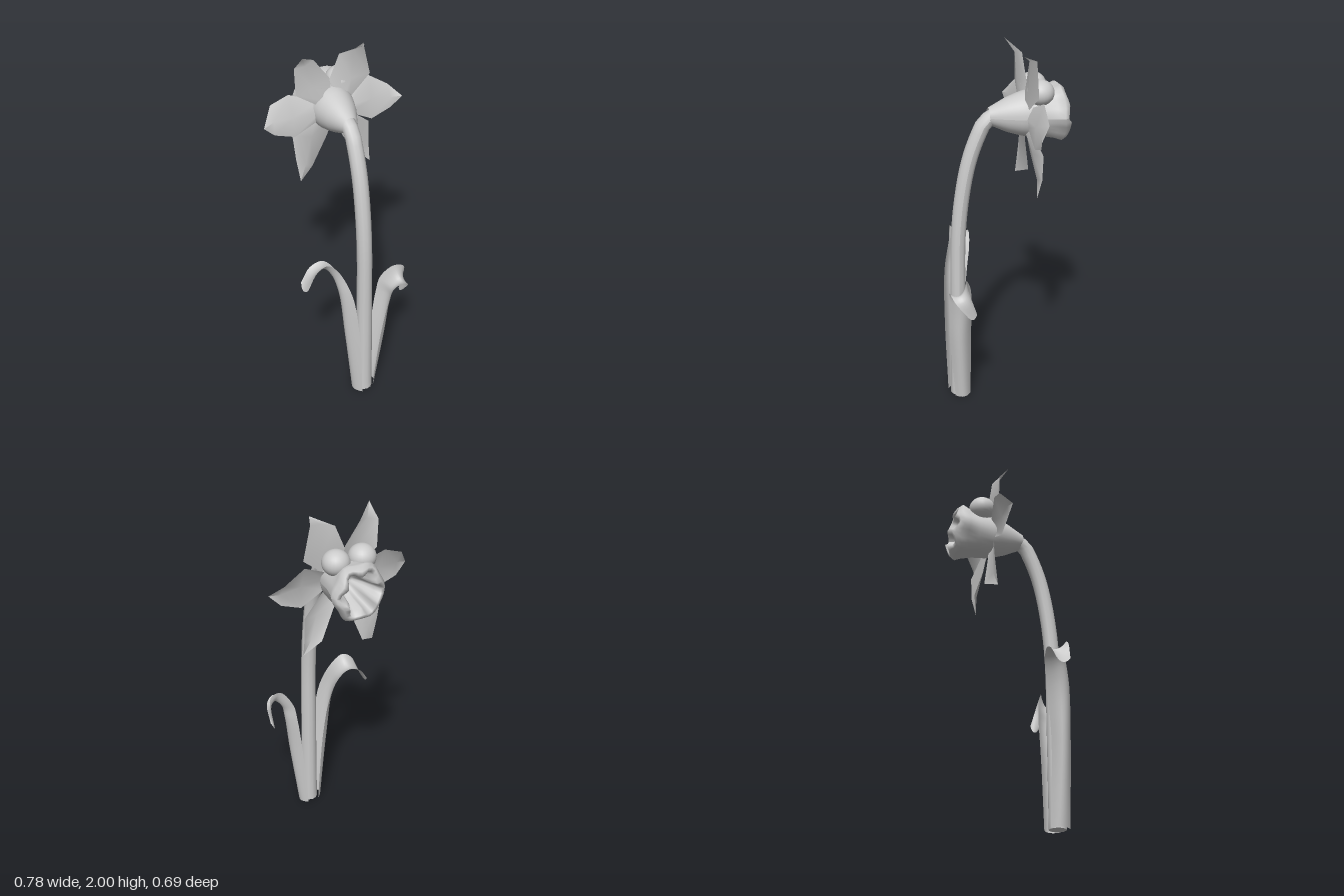
import * as THREE from 'three';

const material = new THREE.MeshStandardMaterial({ color: 0xcccccc, side: THREE.DoubleSide });
const V = (p) => new THREE.Vector3(...p);

function mesh(name, geometry) {
  const m = new THREE.Mesh(geometry, material);
  m.name = name;
  return m;
}

// Skin a list of equally long rows of points
function loft(rows) {
  const n = rows[0].length, index = [];
  for (let i = 0; i < rows.length - 1; i++) {
    for (let j = 0; j < n - 1; j++) {
      const a = i * n + j, b = a + n;
      index.push(a, b, a + 1, b, b + 1, a + 1);
    }
  }
  const g = new THREE.BufferGeometry().setFromPoints(rows.flat());
  g.setIndex(index);
  g.computeVertexNormals();
  return g;
}

// Tapered stem bending over in the yz plane
function stem() {
  const path = new THREE.CatmullRomCurve3([
    [0, 0, 0.18], [0, 0.5, 0.175], [0, 1, 0.164], [0, 1.25, 0.135],
    [0, 1.42, 0.098], [0, 1.55, 0.05], [0, 1.62, 0.012], [0, 1.65, -0.04],
  ].map(V));
  const rows = [];
  for (let i = 0; i <= 40; i++) {
    const c = path.getPointAt(i / 40), t = path.getTangentAt(i / 40);
    const r = 0.047 - 0.006 * Math.min(1, i / 20);
    const row = [];
    for (let j = 0; j <= 12; j++) {
      const a = (-j / 12) * Math.PI * 2, s = r * Math.sin(a);
      row.push(new THREE.Vector3(r * Math.cos(a), c.y - s * t.z, c.z + s * t.y));
    }
    rows.push(row);
  }
  return mesh('stem', loft(rows));
}

// Channelled leaf: an arc swept along two edge rails and a middle rail
function leaf(name, edgeA, middle, edgeB) {
  const rails = [edgeA, middle, edgeB].map((r) => new THREE.CatmullRomCurve3(r.map(V)));
  const rows = [];
  for (let i = 0; i <= 30; i++) {
    const [a, m, b] = rails.map((c) => c.getPoint(i / 30));
    const row = [];
    for (let j = 0; j <= 8; j++) {
      const t = j / 8;
      row.push(new THREE.Vector3()
        .addScaledVector(a, (1 - t) * (1 - 2 * t))
        .addScaledVector(m, 4 * t * (1 - t))
        .addScaledVector(b, t * (2 * t - 1)));
    }
    rows.push(row);
  }
  return mesh(name, loft(rows));
}

// Angular petal: two outlines meeting at the tip, with a raised midrib
function petal(left, right, tip) {
  const rows = left.map((l, i) => {
    const a = V(l), b = V(right[i]);
    const rib = a.clone().lerp(b, 0.5);
    rib.z += 0.02;
    return [a, rib, b];
  });
  rows.push([V(tip), V(tip), V(tip)]);
  return mesh('petal', loft(rows));
}

// Trumpet with a ruffled rim that curls in to a hollow throat
function trumpet() {
  const profile = [ // z, radius, ruffle
    [-0.005, 0.042, 0], [-0.05, 0.062, 0], [-0.1, 0.085, 0], [-0.16, 0.104, 0], [-0.2, 0.114, 0],
    [-0.28, 0.119, 0.02], [-0.34, 0.13, 0.04], [-0.378, 0.143, 0.05], [-0.405, 0.125, 0.08],
    [-0.412, 0.102, 0.12], [-0.37, 0.085, 0.15], [-0.3, 0.065, 0.1], [-0.24, 0.04, 0], [-0.23, 0, 0],
  ];
  const rows = profile.map(([z, r, k]) => {
    const row = [];
    for (let j = 0; j <= 36; j++) {
      const a = (j / 36) * Math.PI * 2;
      const wave = Math.cos(6 * a);
      const rr = r * (1 + k * wave);
      const dz = k * (0.1 * Math.sin(a) + 0.1 * wave);
      row.push(new THREE.Vector3(rr * Math.cos(a), 1.648 + rr * Math.sin(a) * 1.06, z + dz));
    }
    return row;
  });
  return mesh('trumpet', loft(rows));
}

export function createModel() {
  const group = new THREE.Group();

  // Stem with its closed foot
  group.add(stem());
  const foot = mesh('stemFoot', new THREE.CircleGeometry(0.047, 12));
  foot.rotation.x = Math.PI / 2;
  foot.position.z = 0.18;
  group.add(foot);

  // Leaves
  group.add(leaf('rightLeaf',
    [[-0.035, 0, 0.235], [-0.06, 0.45, 0.24], [-0.1, 0.75, 0.225], [-0.165, 0.91, 0.18],
      [-0.215, 0.95, 0.165], [-0.27, 0.92, 0.16], [-0.32, 0.81, 0.15]],
    [[-0.07, 0, 0.18], [-0.12, 0.45, 0.185], [-0.15, 0.75, 0.17], [-0.18, 0.86, 0.13],
      [-0.22, 0.9, 0.115], [-0.28, 0.865, 0.11], [-0.33, 0.78, 0.105]],
    [[-0.035, 0, 0.13], [-0.07, 0.45, 0.13], [-0.1, 0.72, 0.1], [-0.14, 0.85, 0.075],
      [-0.2, 0.905, 0.062], [-0.27, 0.885, 0.06], [-0.325, 0.81, 0.07]]));
  group.add(leaf('leftLeaf',
    [[0.045, 0, 0.21], [0.07, 0.4, 0.24], [0.11, 0.62, 0.245], [0.14, 0.72, 0.25],
      [0.19, 0.745, 0.255], [0.235, 0.71, 0.235], [0.245, 0.62, 0.17]],
    [[0.07, 0, 0.165], [0.12, 0.4, 0.185], [0.145, 0.62, 0.18], [0.155, 0.69, 0.19],
      [0.2, 0.74, 0.2], [0.235, 0.72, 0.18], [0.235, 0.6, 0.14]],
    [[0.035, 0, 0.12], [0.07, 0.4, 0.12], [0.1, 0.63, 0.12], [0.12, 0.73, 0.13],
      [0.18, 0.81, 0.165], [0.24, 0.79, 0.17], [0.25, 0.64, 0.125]]));

  // Petals: upper pair, side pair, lower pair
  const petals = new THREE.Group();
  petals.name = 'petals';
  petals.add(
    petal([[-0.09, 1.69, -0.19], [-0.205, 1.77, -0.2], [-0.21, 1.92, -0.2]],
      [[-0.005, 1.73, -0.2], [-0.015, 1.82, -0.21], [-0.1, 1.94, -0.21]], [-0.19, 2, -0.14]),
    petal([[0.005, 1.73, -0.2], [-0.015, 1.81, -0.21], [0.04, 1.94, -0.21]],
      [[0.09, 1.69, -0.19], [0.215, 1.79, -0.21], [0.175, 1.97, -0.21]], [0.15, 1.99, -0.15]),
    petal([[0.08, 1.7, -0.21], [0.22, 1.765, -0.235], [0.33, 1.69, -0.23]],
      [[0.09, 1.6, -0.19], [0.22, 1.53, -0.19], [0.33, 1.57, -0.19]], [0.39, 1.63, -0.175]),
    petal([[-0.09, 1.6, -0.19], [-0.22, 1.54, -0.19], [-0.33, 1.58, -0.19]],
      [[-0.08, 1.7, -0.21], [-0.23, 1.765, -0.235], [-0.33, 1.73, -0.235]], [-0.39, 1.64, -0.18]),
    petal([[0.1, 1.6, -0.2], [0.225, 1.49, -0.235], [0.225, 1.36, -0.23]],
      [[0.01, 1.57, -0.2], [0.06, 1.46, -0.21], [0.13, 1.34, -0.24]], [0.22, 1.26, -0.205]),
    petal([[-0.01, 1.57, -0.2], [-0.03, 1.49, -0.21], [-0.1, 1.29, -0.25]],
      [[-0.1, 1.6, -0.2], [-0.215, 1.52, -0.235], [-0.205, 1.38, -0.22]], [-0.19, 1.25, -0.2]),
  );
  group.add(petals, trumpet());

  // Eyes resting on the trumpet
  for (const x of [-0.083, 0.064]) {
    const eye = mesh('eye', new THREE.SphereGeometry(0.072, 24, 16));
    eye.position.set(x, 1.773, -0.262);
    eye.scale.y = 0.92;
    group.add(eye);
  }
  return group;
}
